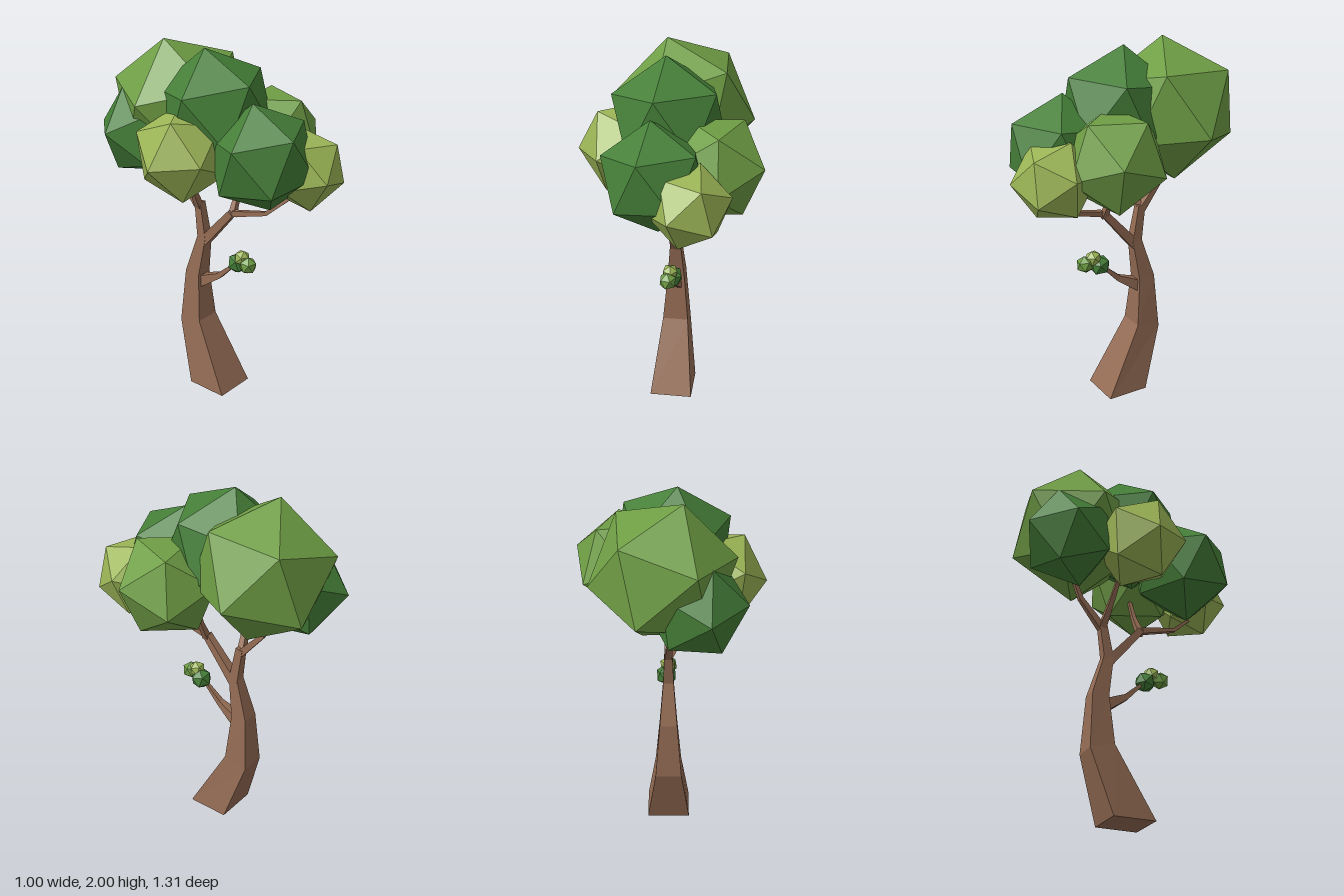
import * as THREE from 'three';

const V = (a) => new THREE.Vector3(...a);
const mat = (color) => new THREE.MeshStandardMaterial({ color, flatShading: true });

// Icosahedron turned so that one edge runs between the directions a and b
function leafBlob(name, material, centre, r, a, b) {
  const mesh = new THREE.Mesh(new THREE.IcosahedronGeometry(r, 0), material);
  const p = V(a).normalize(), q = V(b).normalize();
  const y = p.clone().add(q).normalize();
  const x = q.clone().sub(p).normalize();
  mesh.quaternion.setFromRotationMatrix(
    new THREE.Matrix4().makeBasis(x, y, x.clone().cross(y)));
  mesh.position.set(...centre);
  mesh.name = name;
  return mesh;
}

// Square-section limb through sections [x, y, z, half width]
function limb(name, material, sections) {
  const pts = sections.map((s) => V(s.slice(0, 3)));
  const n = pts.length, pos = [], idx = [];
  pts.forEach((p, i) => {
    const t = pts[Math.min(i + 1, n - 1)].clone().sub(pts[Math.max(i - 1, 0)]).normalize();
    if (p.y === 0) t.set(0, 1, 0); // flat foot on the ground
    const s = new THREE.Vector3(1, 0, 0).addScaledVector(t, -t.x).normalize();
    const f = s.clone().cross(t);
    const h = sections[i][3];
    for (const [u, v] of [[-1, -1], [1, -1], [1, 1], [-1, 1]]) {
      const c = p.clone().addScaledVector(s, u * h).addScaledVector(f, v * h);
      pos.push(c.x, c.y, c.z);
    }
  });
  for (let i = 0; i < n - 1; i++) {
    for (let k = 0; k < 4; k++) {
      const a = i * 4 + k, b = i * 4 + (k + 1) % 4;
      idx.push(a, a + 4, b, b, a + 4, b + 4);
    }
  }
  const e = (n - 1) * 4;
  idx.push(0, 1, 2, 0, 2, 3, e, e + 2, e + 1, e, e + 3, e + 2);
  const g = new THREE.BufferGeometry();
  g.setAttribute('position', new THREE.Float32BufferAttribute(pos, 3));
  g.setIndex(idx);
  const flat = g.toNonIndexed();
  flat.computeVertexNormals();
  const mesh = new THREE.Mesh(flat, material);
  mesh.name = name;
  return mesh;
}

export function createModel() {
  const tree = new THREE.Group();
  tree.name = 'tree';
  const bark = mat(0x946c54);
  bark.side = THREE.DoubleSide;
  const dark = mat(0x457f38), mid = mat(0x6f9e45), lime = mat(0x9bb556);

  // Bent trunk and its branches
  const wood = new THREE.Group();
  wood.name = 'wood';
  wood.add(
    limb('trunk', bark, [
      [0.008, 0, -0.003, 0.117], [0.008, 0.375, -0.163, 0.071],
      [0.008, 0.67, -0.165, 0.047], [0.008, 0.9, -0.113, 0.028],
      [0.008, 1.1, -0.145, 0.021]]),
    limb('backBranch', bark, [
      [0.008, 1.07, -0.145, 0.02], [0, 1.22, -0.275, 0.013], [-0.01, 1.4, -0.35, 0.008]]),
    limb('leftBranch', bark, [
      [0.005, 1.07, -0.145, 0.019], [-0.08, 1.22, -0.12, 0.013], [-0.16, 1.4, -0.09, 0.008]]),
    limb('frontBranch', bark, [
      [0.008, 0.86, -0.125, 0.03], [0.008, 0.93, -0.06, 0.025], [0.008, 1.1, 0.085, 0.019]]),
    limb('innerFrontBranch', bark, [
      [0.008, 1.08, 0.085, 0.018], [0.07, 1.2, 0.075, 0.012], [0.14, 1.38, 0.07, 0.008]]),
    limb('outerFrontBranch', bark, [
      [0.008, 1.1, 0.095, 0.016], [0.025, 1.155, 0.3, 0.011], [0.08, 1.28, 0.44, 0.007]]),
    limb('lowTwig', bark, [
      [0.008, 0.61, -0.15, 0.035], [0.008, 0.645, -0.085, 0.027],
      [0.008, 0.69, -0.005, 0.016], [0.012, 0.79, 0.1, 0.008]]));
  tree.add(wood);

  // Crown
  const crown = new THREE.Group();
  crown.name = 'crown';
  crown.add(
    leafBlob('backLeaves', mid, [0.037, 1.635, -0.298], 0.38,
      [-0.103, 0.365, -0.022], [0.206, 0.222, -0.232]),
    leafBlob('topLeaves', dark, [-0.015, 1.671, -0.015], 0.325,
      [-0.023, 0.319, -0.051], [-0.047, 0.186, 0.265]),
    leafBlob('frontLeaves', dark, [-0.045, 1.494, 0.319], 0.29,
      [-0.025, 0.284, -0.039], [-0.055, 0.162, 0.236]),
    leafBlob('lowFrontLeaves', lime, [0.145, 1.41, 0.45], 0.22,
      [0.035, 0.204, -0.08], [0.2, 0.04, -0.01]),
    leafBlob('leftLeaves', mid, [0.24, 1.49, 0.155], 0.283,
      [0.263, 0.05, 0.098], [0.15, 0.23, -0.11]),
    leafBlob('rightLeaves', lime, [-0.25, 1.49, -0.04], 0.255,
      [-0.253, -0.025, -0.01], [-0.1, 0.01, 0.225]),
    leafBlob('lowBackLeaves', dark, [-0.13, 1.5, -0.4], 0.265,
      [-0.07, 0.01, -0.255], [-0.255, 0.03, -0.055]));
  tree.add(crown);

  // Small tuft at the end of the low twig
  const tuft = new THREE.Group();
  tuft.name = 'tuft';
  tuft.add(
    leafBlob('tuftInner', dark, [0.02, 0.805, 0.118], 0.06, [0.1, 1, 0.2], [0.9, 0.3, 0.4]),
    leafBlob('tuftTop', lime, [0.012, 0.85, 0.152], 0.046, [0, 1, 0.3], [-0.8, 0.4, 0.5]),
    leafBlob('tuftOuter', mid, [0.005, 0.822, 0.2], 0.05, [0.3, 0.4, 1], [0.9, 0.5, -0.1]));
  tree.add(tuft);
  return tree;
}
